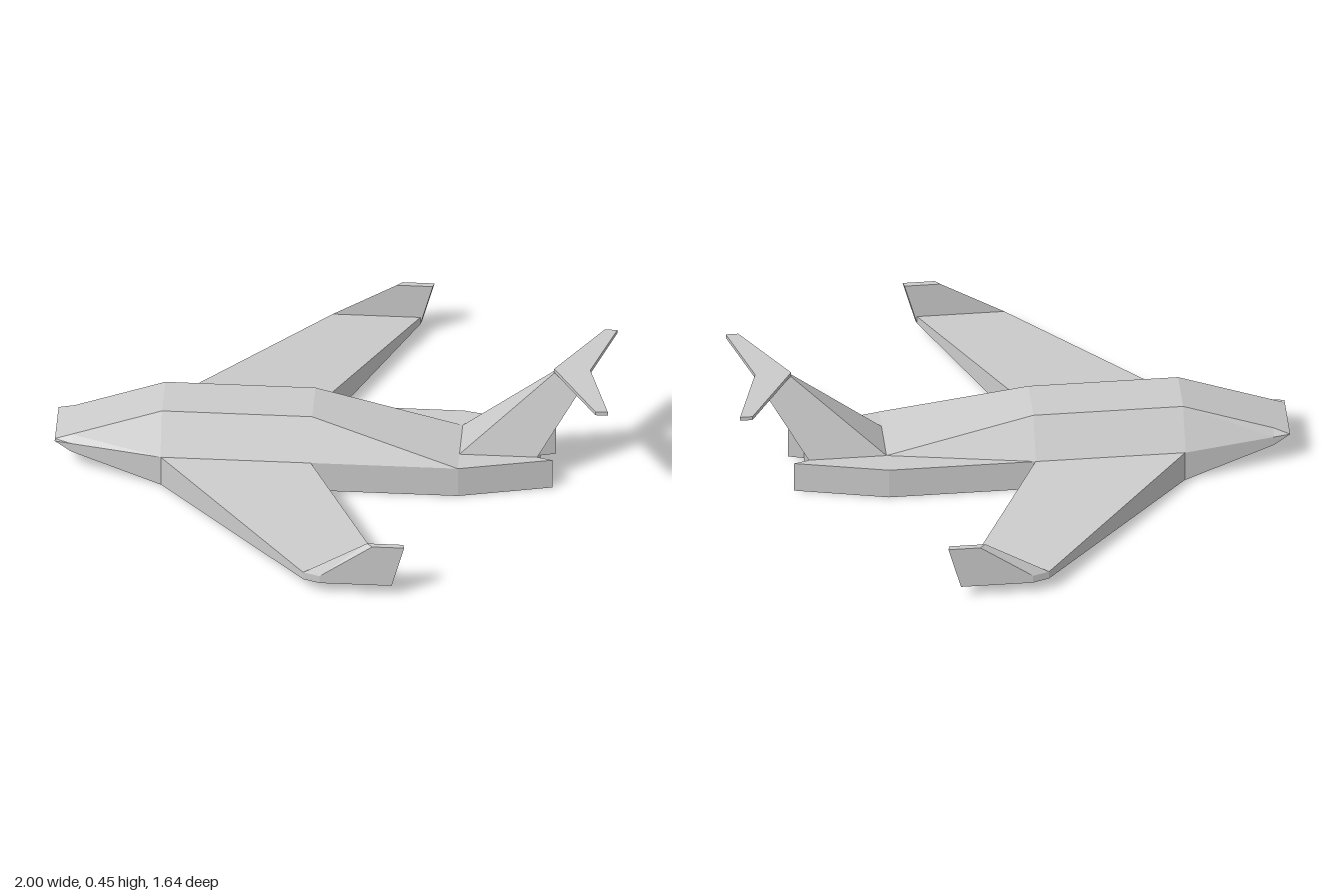
import * as THREE from 'three';

const grey = new THREE.MeshStandardMaterial({ color: 0xcccccc, flatShading: true });

// Skin a row of matching convex rings of [x, y, z] corners, facing outwards
function loft(rings, caps = true) {
  const tris = [];
  const n = rings[0].length;
  for (let r = 0; r < rings.length - 1; r++) {
    const a = rings[r], b = rings[r + 1];
    for (let i = 0; i < n; i++) {
      const j = (i + 1) % n;
      tris.push([a[i], a[j], b[j]], [a[i], b[j], b[i]]);
    }
  }
  if (caps) {
    const a = rings[0], b = rings[rings.length - 1];
    for (let i = 1; i < n - 1; i++) tris.push([a[0], a[i + 1], a[i]], [b[0], b[i], b[i + 1]]);
  }
  // Flip the winding when the enclosed volume comes out negative
  const v = (p) => new THREE.Vector3(...p);
  const origin = v(rings[0][0]);
  let volume = 0;
  for (const t of tris) {
    const [p, q, s] = t.map((c) => v(c).sub(origin));
    volume += p.dot(q.cross(s));
  }
  if (volume < 0) tris.forEach((t) => t.reverse());
  const geo = new THREE.BufferGeometry();
  geo.setAttribute('position', new THREE.Float32BufferAttribute(tris.flat(2), 3));
  geo.computeVertexNormals();
  return geo;
}

export function createModel() {
  const model = new THREE.Group();
  const add = (name, geo) => {
    const mesh = new THREE.Mesh(geo, grey);
    mesh.name = name;
    model.add(mesh);
  };

  // Fuselage: flat roof, sloping shoulders, upright sides
  const shoulder = 0.12, roofHalf = 0.09;
  const stations = [ // x, roof height, belly height, half width
    [-1, 0.12, 0.12, 0.105],
    [-0.94, 0.142, 0.085, 0.117],
    [-0.615, 0.26, 0, 0.18],
    [-0.075, 0.26, 0, 0.18],
    [0.455, 0.12, 0, 0.18],
  ];
  add('fuselage', loft(stations.map(([x, roof, belly, w]) => [
    [x, roof, roofHalf], [x, shoulder, w], [x, belly, w],
    [x, belly, -w], [x, shoulder, -w], [x, roof, -roofHalf],
  ]), false));

  // Tapered rear body, notched at the back
  const plan = new THREE.Shape([
    [0.455, 0.18], [0.455, -0.18], [0.79, -0.105],
    [0.735, -0.09], [0.735, 0.09], [0.79, 0.105],
  ].map(([x, z]) => new THREE.Vector2(x, z)));
  const rear = new THREE.ExtrudeGeometry(plan, { depth: shoulder, bevelEnabled: false });
  rear.rotateX(Math.PI / 2).translate(0, shoulder, 0);
  add('rearBody', rear);

  // Swept wings with upturned tips
  for (const [side, s] of [['right', 1], ['left', -1]]) {
    const section = (x0, x1, y0, y1, z) =>
      [[x0, y0, z * s], [x1, y0, z * s], [x1, y1, z * s], [x0, y1, z * s]];
    add(side + 'Wing', loft([
      section(-0.615, -0.075, 0, 0.12, 0.178),
      section(-0.06, 0.255, 0.05, 0.08, 0.8),
    ]));
    const tip = (y, in0, in1, out0, out1) =>
      [[in0, y, 0.8 * s], [in1, y, 0.8 * s], [out1, y, 0.82 * s], [out0, y, 0.82 * s]];
    add(side + 'Winglet', loft([
      tip(0.05, -0.06, 0.255, 0, 0.26),
      tip(0.08, -0.06, 0.263, 0, 0.268),
      tip(0.218, 0.17, 0.3, 0.19, 0.305),
    ]));
  }

  // Tail fin, wide at the deck and narrow at the top
  const finRing = (y, x0, x1, w) => [[x0, y, w], [x1, y, w], [x1, y, -w], [x0, y, -w]];
  add('tailFin', loft([finRing(0.12, 0.455, 0.735, 0.09), finRing(0.434, 0.79, 0.92, 0.008)]));

  // Swept tailplane on top of the fin
  const planeSection = (x0, x1, z) =>
    [[x0, 0.433, z], [x1, 0.433, z], [x1, 0.448, z], [x0, 0.448, z]];
  add('tailplane', loft([
    planeSection(0.955, 1, -0.255),
    planeSection(0.79, 0.92, 0),
    planeSection(0.955, 1, 0.255),
  ]));

  return model;
}
